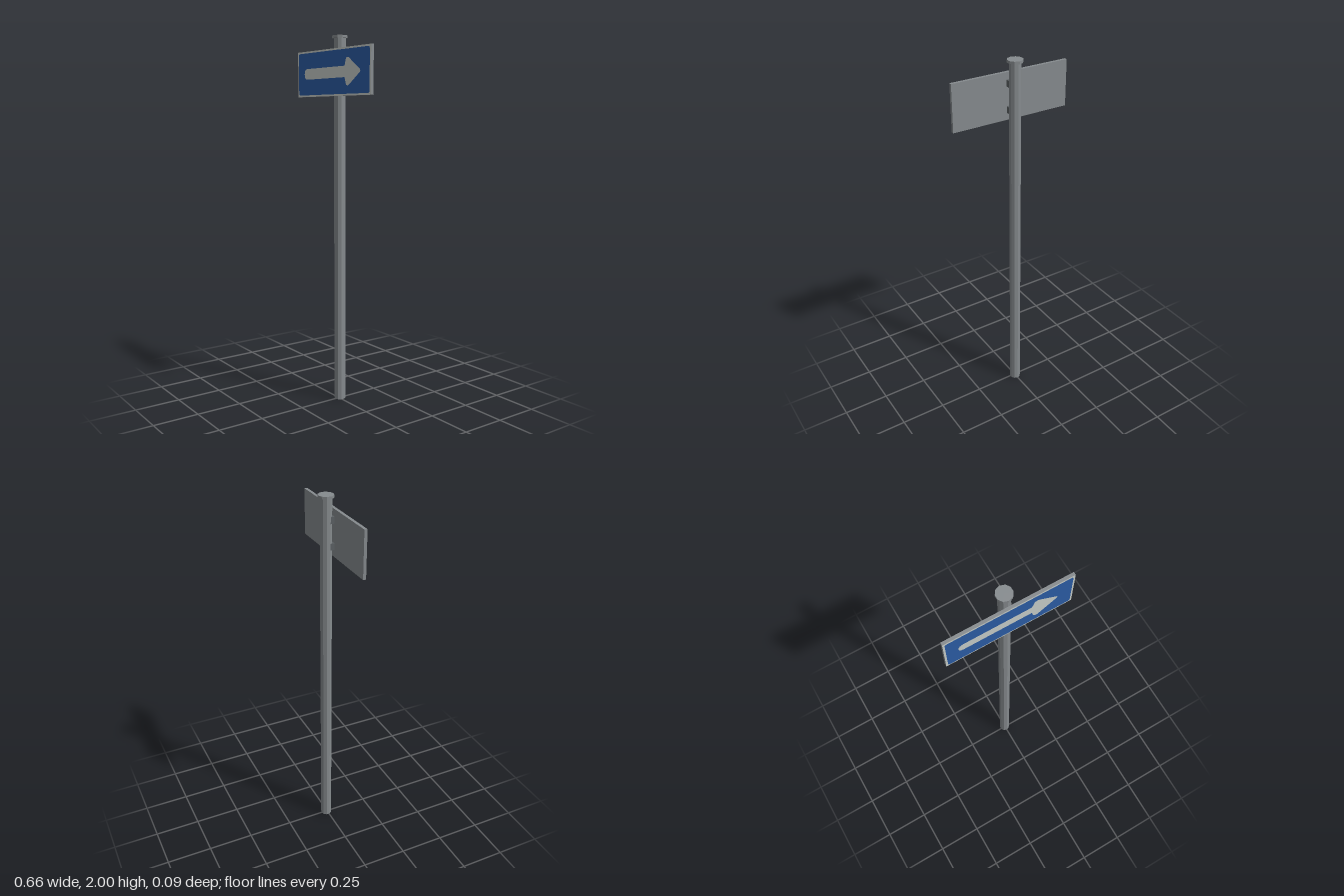
import * as THREE from 'three';

const mat = (name, color, flatShading = false) => {
  const m = new THREE.MeshStandardMaterial({ color, flatShading });
  m.name = name;
  return m;
};

export function createModel() {
  const group = new THREE.Group();
  const steel = mat('galvanised steel', 0x868b8e, true);
  const dark = mat('dark bracket steel', 0x5c6164, true);
  const blue = mat('sign blue', 0x2b5ca4);
  const white = mat('reflective white', 0xc6ccc8);

  const add = (name, geometry, material, x, y, z) => {
    const mesh = new THREE.Mesh(geometry, material);
    mesh.name = name;
    mesh.position.set(x, y, z);
    group.add(mesh);
    return mesh;
  };

  // Ten-sided post with a slightly wider cap
  const postZ = -0.006, signY = 1.807;
  add('post', new THREE.CylinderGeometry(0.031, 0.031, 1.987, 10), steel, 0, 0.9935, postZ);
  add('postCap', new THREE.CylinderGeometry(0.041, 0.041, 0.014, 10), steel, 0, 1.993, postZ);

  // Brackets between post and panel
  for (const dy of [-0.068, 0.068]) {
    add('bracket', new THREE.BoxGeometry(0.054, 0.035, 0.024), dark, 0, signY + dy, 0.0165);
  }

  // Panel: steel edges and back, white front that forms the border
  add('signPanel', new THREE.BoxGeometry(0.662, 0.247, 0.016),
    [steel, steel, steel, steel, white, steel], 0, signY, 0.036);

  // Blue field with rounded corners
  const w = 0.321, h = 0.114, r = 0.012;
  const field = new THREE.Shape();
  field.absarc(w - r, h - r, r, 0, Math.PI / 2);
  field.absarc(-w + r, h - r, r, Math.PI / 2, Math.PI);
  field.absarc(-w + r, -h + r, r, Math.PI, Math.PI * 1.5);
  field.absarc(w - r, -h + r, r, Math.PI * 1.5, Math.PI * 2);
  add('blueField', new THREE.ShapeGeometry(field, 4), blue, 0, signY, 0.045);

  // Arrow with rounded tail and head corners
  const arrow = new THREE.Shape();
  arrow.moveTo(-0.235, -0.029);
  arrow.lineTo(0.112, -0.029);
  arrow.lineTo(0.122, -0.06);
  arrow.quadraticCurveTo(0.128, -0.076, 0.146, -0.071);
  arrow.lineTo(0.236, -0.012);
  arrow.quadraticCurveTo(0.256, 0, 0.236, 0.012);
  arrow.lineTo(0.146, 0.071);
  arrow.quadraticCurveTo(0.128, 0.076, 0.122, 0.06);
  arrow.lineTo(0.112, 0.029);
  arrow.lineTo(-0.235, 0.029);
  arrow.quadraticCurveTo(-0.262, 0.027, -0.262, 0);
  arrow.quadraticCurveTo(-0.262, -0.027, -0.235, -0.029);
  add('arrow', new THREE.ShapeGeometry(arrow, 6), white, 0, signY, 0.046);

  return group;
}
